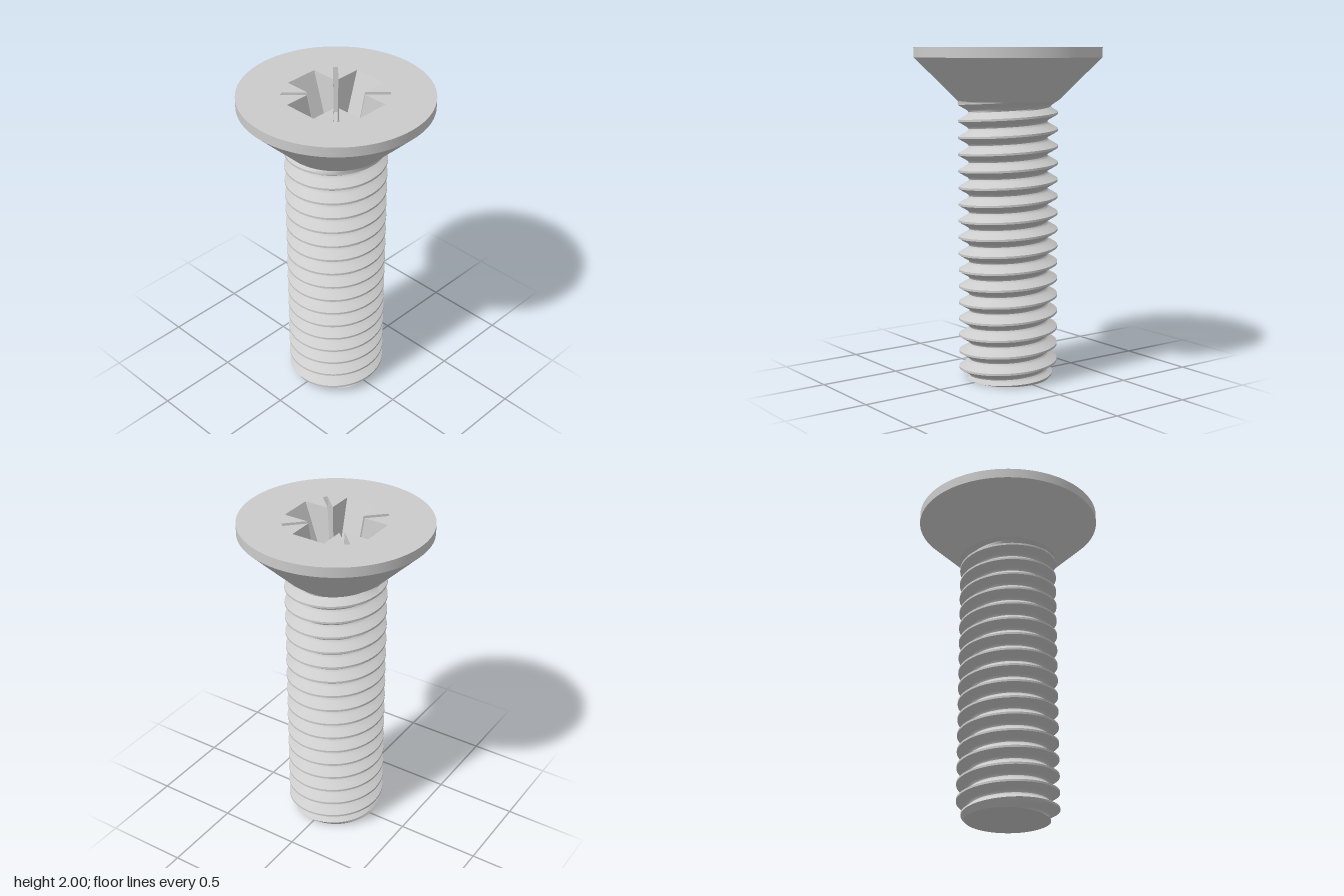
import * as THREE from 'three';
import { toCreasedNormals } from 'three/addons/utils/BufferGeometryUtils.js';

const PITCH = 0.1, CREST = 0.298, ROOT = 0.235;
const HEAD_R = 0.558, RIM_Y = 1.94, NECK_Y = 1.685, TOP = 2;
const FLOOR_Y = 1.72, DRILL_R = 0.115;
const SEG = 96;

// Half thread profile: [distance from crest in pitches, radius]
const PROFILE = [[0, CREST], [0.0625, CREST], [0.22, 0.271], [0.37, 0.245], [0.44, 0.2375], [0.5, ROOT]];

function threadRadius(y, a) {
  const turns = (y - 0.074) / PITCH - a / (2 * Math.PI);
  const t = Math.abs(turns - Math.round(turns));
  let r = ROOT;
  for (let i = 1; i < PROFILE.length; i++) {
    const [t0, r0] = PROFILE[i - 1], [t1, r1] = PROFILE[i];
    if (t >= t0 && t <= t1) r = THREE.MathUtils.mapLinear(t, t0, t1, r0, r1);
  }
  // fillet into the head, chamfer at the tip
  const s = THREE.MathUtils.clamp((y - 1.615) / (NECK_Y - 1.615), 0, 1);
  r = Math.max(r, ROOT + (0.3 - ROOT) * s * s);
  return Math.min(r, 0.25 + y);
}

// Rows of the surface follow the helix so the crests stay crisp
function shaftGeometry() {
  const offsets = [-0.44, -0.37, -0.22, -0.0625, 0.0625, 0.22, 0.37, 0.44, 0.5];
  const rows = [];
  for (let k = -2; k <= 17; k++) for (const o of offsets) rows.push(0.074 + (k + o) * PITCH);
  const pos = [], index = [], n = SEG + 1;
  for (const base of rows) {
    for (let i = 0; i <= SEG; i++) {
      const a = (i / SEG) * 2 * Math.PI;
      const y = THREE.MathUtils.clamp(base + PITCH * i / SEG, 0, NECK_Y);
      const r = threadRadius(y, a);
      pos.push(r * Math.sin(a), y, r * Math.cos(a));
    }
  }
  for (let j = 0; j < rows.length - 1; j++) {
    // skip rows that are clamped flat all round
    if (rows[j + 1] + PITCH <= 0 || rows[j] >= NECK_Y) continue;
    for (let i = 0; i < SEG; i++) {
      const p = j * n + i, q = p + n;
      index.push(p, p + 1, q + 1, p, q + 1, q);
    }
  }
  const g = new THREE.BufferGeometry();
  g.setAttribute('position', new THREE.Float32BufferAttribute(pos, 3));
  g.setIndex(index);
  return toCreasedNormals(g, 0.6);
}

// Cross outline with four thin diagonal slots: one quarter, turned four times
function crossOutline(end, half, slot, w) {
  const quarter = [[end, -half], [end, half], [half + w, half], [slot + w, slot], [slot, slot + w], [half, half + w]];
  const pts = [];
  for (let k = 0; k < 4; k++) {
    for (let [x, z] of quarter) {
      for (let t = 0; t < k; t++) [x, z] = [-z, x];
      pts.push(new THREE.Vector2(x, z));
    }
  }
  return pts;
}

function recessWalls(upper, lower) {
  const pos = [];
  upper.forEach((p, i) => {
    const j = (i + 1) % upper.length;
    const pT = [p.x, TOP, p.y], qT = [upper[j].x, TOP, upper[j].y];
    const pB = [lower[i].x, FLOOR_Y, lower[i].y], qB = [lower[j].x, FLOOR_Y, lower[j].y];
    pos.push(...pT, ...pB, ...qT, ...qT, ...pB, ...qB);
  });
  const g = new THREE.BufferGeometry();
  g.setAttribute('position', new THREE.Float32BufferAttribute(pos, 3));
  g.computeVertexNormals();
  return g;
}

// Flat upward face at height y with a hole
function plate(outer, hole, y) {
  const shape = new THREE.Shape(outer);
  shape.holes.push(new THREE.Path(hole));
  return new THREE.ShapeGeometry(shape).rotateX(-Math.PI / 2).translate(0, y, 0);
}

function ring(radiusAt) {
  return Array.from({ length: SEG }, (_, i) => {
    const a = (i / SEG) * 2 * Math.PI, r = radiusAt(a);
    return new THREE.Vector2(r * Math.sin(a), r * Math.cos(a));
  });
}

function lathe(...pts) {
  return new THREE.LatheGeometry(pts.map(([r, y]) => new THREE.Vector2(r, y)), SEG);
}

export function createModel() {
  const group = new THREE.Group();
  const material = new THREE.MeshStandardMaterial({ color: 0xcccccc });
  const add = (name, geometry) => {
    const mesh = new THREE.Mesh(geometry, material);
    mesh.name = name;
    group.add(mesh);
  };

  // Threaded shaft and its flat tip
  add('threadedShaft', shaftGeometry());
  add('shaftTip', new THREE.ShapeGeometry(new THREE.Shape(ring((a) => threadRadius(0, a)))).rotateX(Math.PI / 2));

  // Countersunk head
  add('headCone', lathe([0.3, NECK_Y], [HEAD_R, RIM_Y]));
  add('headRim', lathe([HEAD_R, RIM_Y], [HEAD_R, TOP]));

  // Driver recess with a drilled centre
  const upper = crossOutline(0.276, 0.103, 0.205, 0.021);
  const lower = crossOutline(0.155, 0.075, 0.185, 0.015);
  add('headTop', plate(ring(() => HEAD_R), upper, TOP));
  add('recessWalls', recessWalls(upper, lower));
  add('recessFloor', plate(lower, ring(() => DRILL_R), FLOOR_Y));
  add('recessDrillPoint', lathe([DRILL_R, FLOOR_Y], [0, FLOOR_Y - 0.06]));

  return group;
}
